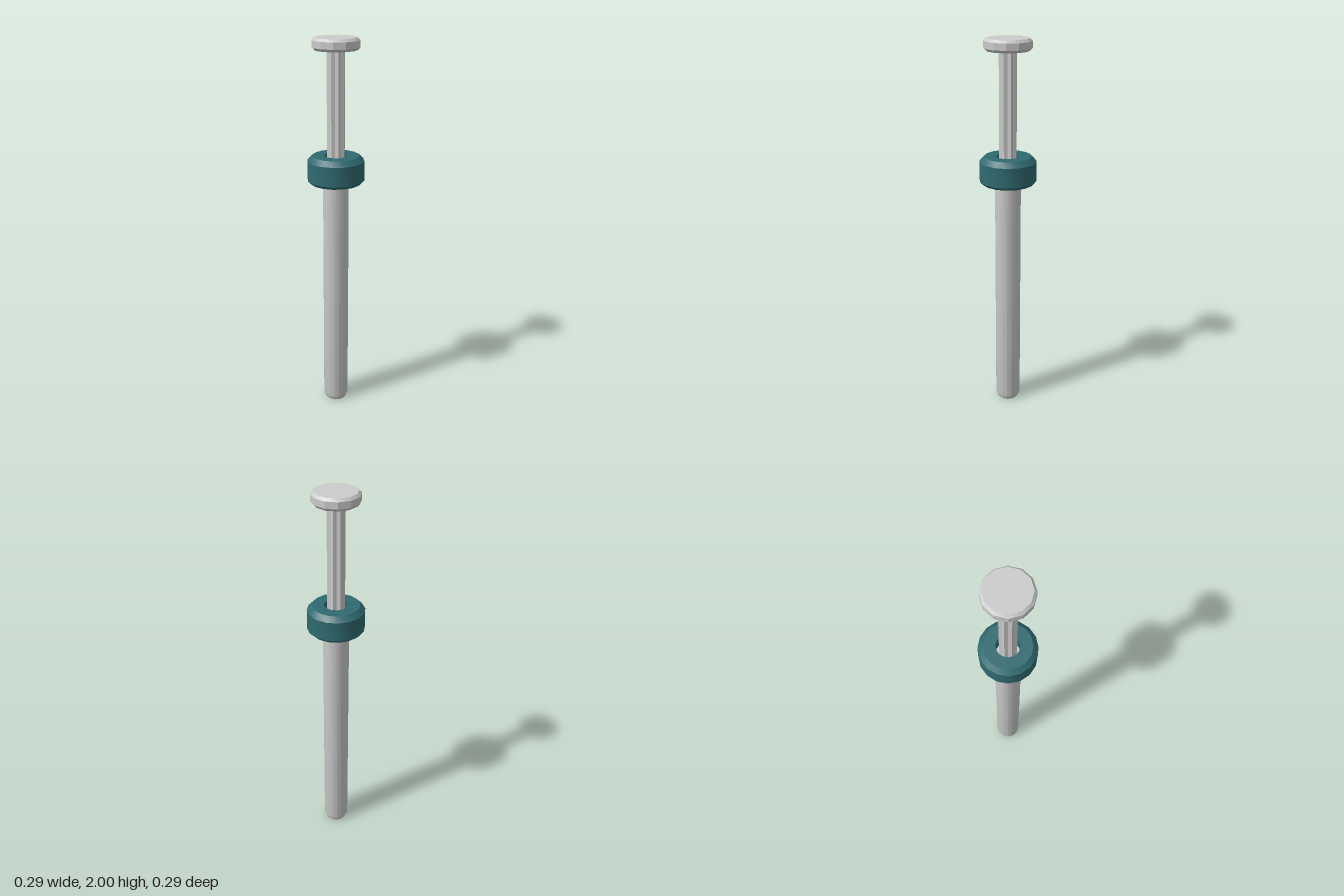
import * as THREE from 'three';
import { toCreasedNormals } from 'three/addons/utils/BufferGeometryUtils.js';

// Turned part from [radius, height] pairs listed bottom to top
function turned(name, profile, sides, color, crease) {
  const points = profile.map(([r, y]) => new THREE.Vector2(r, y));
  const geometry = toCreasedNormals(new THREE.LatheGeometry(points, sides), crease);
  const mesh = new THREE.Mesh(geometry, new THREE.MeshStandardMaterial({ color }));
  mesh.name = name;
  return mesh;
}

export function createModel() {
  const group = new THREE.Group();
  group.name = 'hammerPlug';
  const grey = 0xcccccc;

  // Long sleeve with a chamfered tip
  group.add(turned('sleeve', [
    [0, 0], [0.056, 0], [0.067, 0.025], [0.067, 1.32], [0, 1.32],
  ], 16, grey, 0.5));

  // Coloured collar with chamfered rims and an open bore
  group.add(turned('collar', [
    [0.06, 1.27], [0.132, 1.27], [0.147, 1.285], [0.147, 1.387],
    [0.122, 1.413], [0.06, 1.413], [0.06, 1.27],
  ], 16, 0x2f6a70, 0.5));

  // Fluted pin: every second corner is pulled in to form a groove
  const flutes = 8;
  const pinGeometry = new THREE.CylinderGeometry(0.047, 0.047, 0.66, flutes * 2);
  const position = pinGeometry.attributes.position;
  for (let i = 0; i < position.count; i++) {
    const x = position.getX(i), z = position.getZ(i);
    const step = Math.round(Math.atan2(x, z) / (Math.PI / flutes));
    const scale = Math.abs(step) % 2 ? 1 : 0.8;
    position.setX(i, x * scale);
    position.setZ(i, z * scale);
  }
  const pin = new THREE.Mesh(
    toCreasedNormals(pinGeometry, 0.3),
    new THREE.MeshStandardMaterial({ color: grey }),
  );
  pin.name = 'flutedPin';
  pin.position.y = 1.63;
  group.add(pin);

  // Twelve-sided striking head
  group.add(turned('head', [
    [0, 1.94], [0.108, 1.94], [0.12, 1.953], [0.12, 1.987], [0.108, 2], [0, 2],
  ], 12, grey, 0.4));

  return group;
}
